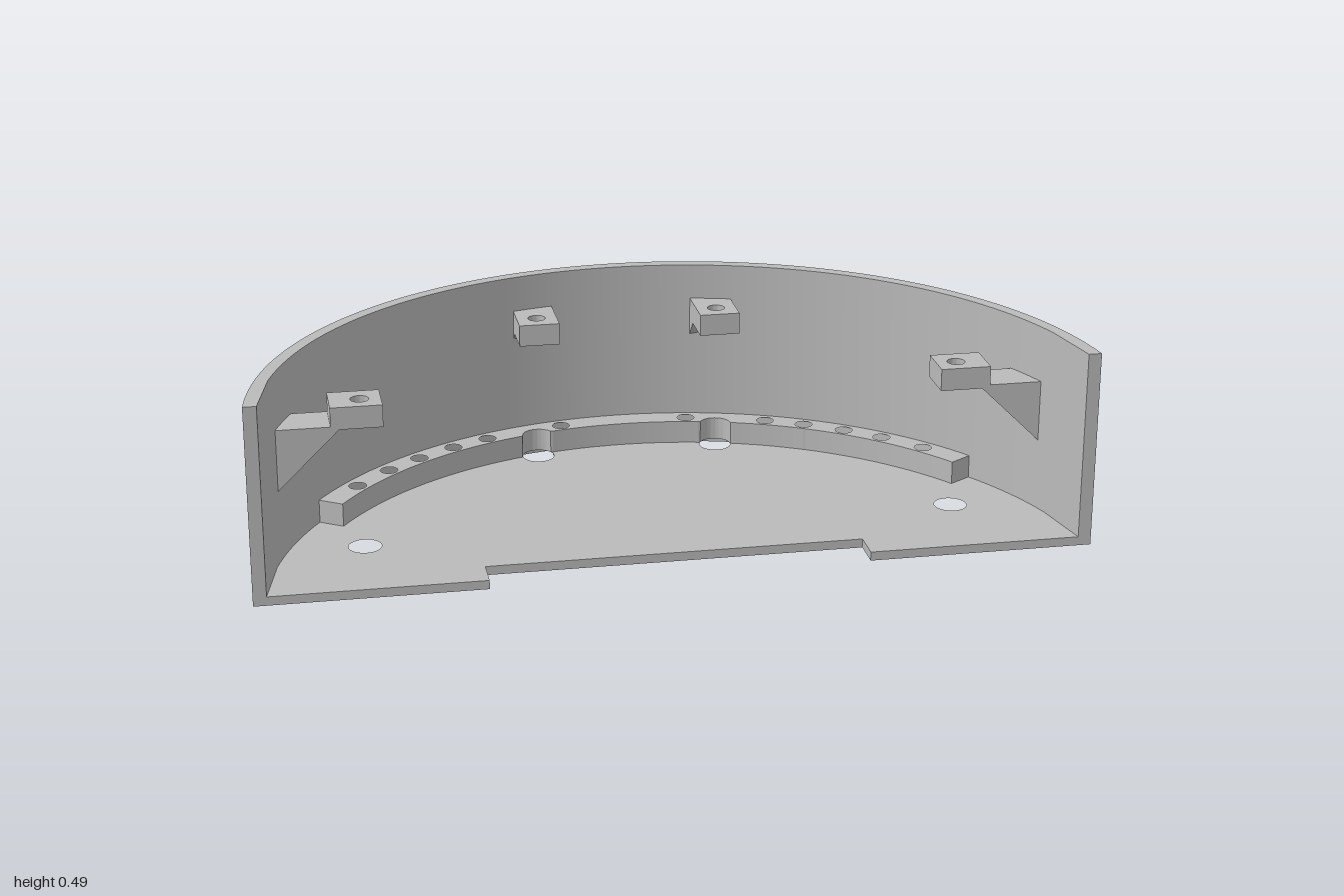
import * as THREE from 'three';
import { toCreasedNormals } from 'three/addons/utils/BufferGeometryUtils.js';

const CZ = 0.56;           // z of the arc centre
const R_OUT = 1.0065, R_IN = 0.975;
const FRONT = 0.445;       // z of the open front
const FLOOR = 0.022, LEDGE_TOP = 0.08, HEIGHT = 0.487;
const rad = THREE.MathUtils.degToRad;

// Plan point (x, -z) at an angle from the back
const polar = (r, a) => new THREE.Vector2(r * Math.sin(a), r * Math.cos(a) - CZ);

function arc(radius, from, to, n) {
  const pts = [];
  for (let i = 0; i <= n; i++) {
    const a = from + (to - from) * i / n;
    pts.push(polar(typeof radius === 'function' ? radius(a) : radius, a));
  }
  return pts;
}

function addHole(shape, x, z, r) {
  const hole = new THREE.Path();
  hole.absarc(x, -z, r, 0, Math.PI * 2, true);
  shape.holes.push(hole);
}

// Extrude a plan shape upwards from y0 to y1
function slab(shape, y0, y1, crease) {
  const g = new THREE.ExtrudeGeometry(shape, { depth: y1 - y0, bevelEnabled: false, curveSegments: 14 });
  g.rotateX(-Math.PI / 2).translate(0, y0, 0);
  return toCreasedNormals(g, crease);
}

export function createModel() {
  const group = new THREE.Group();
  const grey = new THREE.MeshStandardMaterial({ color: 0xbababa });
  grey.name = 'grey';
  const add = (name, geometry) => {
    const mesh = new THREE.Mesh(geometry, grey);
    mesh.name = name;
    group.add(mesh);
  };

  // Inner outline: arc with a straight flat near each open end
  const endOut = Math.acos((CZ - FRONT) / R_OUT);
  const endIn = Math.acos((CZ - FRONT) / R_IN);
  const flat = rad(73.5);
  const inner = [polar(R_IN, -endIn), ...arc(R_IN, -flat, flat, 90), polar(R_IN, endIn)];

  // Curved wall
  const wall = new THREE.Shape([...arc(R_OUT, -endOut, endOut, 100), ...inner.slice().reverse()]);
  add('curvedWall', slab(wall, 0, HEIGHT, 0.06));

  // Hole positions
  const ledgeHoles = [];
  for (const deg of [10.1, 22.8, 29.1, 35.8, 42.3, 49.8]) {
    for (const s of [-1, 1]) ledgeHoles.push(polar(0.94, s * rad(deg)));
  }
  const backScrew = { x: 0.232, z: -0.31 }, sideScrew = { x: 0.722, z: 0.195 };

  // Floor with front notch and holes
  const floor = new THREE.Shape([
    ...inner,
    new THREE.Vector2(0.455, -FRONT), new THREE.Vector2(0.455, -0.365),
    new THREE.Vector2(-0.455, -0.365), new THREE.Vector2(-0.455, -FRONT),
  ]);
  ledgeHoles.forEach(p => addHole(floor, p.x, -p.y, 0.022));
  for (const s of [-1, 1]) {
    for (const h of [backScrew, sideScrew]) addHole(floor, s * h.x, h.z, 0.04);
  }
  add('floor', slab(floor, 0, FLOOR, 0.5));

  // Raised ledge, scalloped around the two rear floor holes
  const screwR = Math.hypot(backScrew.x, backScrew.z - CZ);
  const screwA = Math.atan2(backScrew.x, CZ - backScrew.z);
  const ledgeInner = a => {
    const d = Math.abs(a) - screwA;
    const q = 0.04 ** 2 - (screwR * Math.sin(d)) ** 2;
    return q > 0 ? Math.max(0.91, screwR * Math.cos(d) + Math.sqrt(q)) : 0.91;
  };
  const span = rad(57);
  const ledge = new THREE.Shape([
    ...arc(R_IN, -span, span, 80), ...arc(ledgeInner, span, -span, 456),
  ]);
  ledgeHoles.forEach(p => addHole(ledge, p.x, -p.y, 0.022));
  add('ledge', slab(ledge, FLOOR, LEDGE_TOP, 0.5));

  // Drilled rectangular block
  const block = (x0, x1, z0, z1, hole) => {
    const s = new THREE.Shape([
      new THREE.Vector2(x0, -z1), new THREE.Vector2(x1, -z1),
      new THREE.Vector2(x1, -z0), new THREE.Vector2(x0, -z0),
    ]);
    addHole(s, hole.x, hole.z, 0.022);
    return slab(s, 0.342, 0.397, 0.5);
  };

  for (const s of [-1, 1]) {
    const side = s > 0 ? 'left' : 'right';
    const at = h => ({ x: s * h.x, z: h.z });
    const range = (a, b) => (s > 0 ? [a, b] : [-b, -a]);

    // Rear bracket: block plus a sloped support against the wall
    const [bx0, bx1] = range(0.181, 0.283);
    add(side + 'RearBracket', block(bx0, bx1, -0.402, -0.257, at(backScrew)));
    const wedge = new THREE.ExtrudeGeometry(new THREE.Shape([
      new THREE.Vector2(0.356, 0.342), new THREE.Vector2(0.402, 0.296), new THREE.Vector2(0.402, 0.342),
    ]), { depth: bx1 - bx0, bevelEnabled: false });
    wedge.rotateY(Math.PI / 2).translate(bx0, 0, 0);
    add(side + 'RearSupport', wedge);

    // Side bracket: block plus a gusset trimmed to the curved wall
    const [sx0, sx1] = range(0.672, 0.795);
    add(side + 'SideBracket', block(sx0, sx1, 0.14, 0.245, at(sideScrew)));
    const gusset = new THREE.ExtrudeGeometry(new THREE.Shape([
      new THREE.Vector2(s * 0.775, 0.342), new THREE.Vector2(s * 0.92, 0.2),
      new THREE.Vector2(s * 0.92, 0.35), new THREE.Vector2(s * 0.775, 0.35),
    ]), { depth: 0.105, bevelEnabled: false });
    gusset.translate(0, 0, 0.14);
    const p = gusset.attributes.position;
    for (let i = 0; i < p.count; i++) {
      if (Math.abs(p.getX(i)) < 0.9) continue;
      const x = Math.sqrt(0.985 ** 2 - (p.getZ(i) - CZ) ** 2);
      p.setX(i, s * x);
      if (p.getY(i) < 0.3) p.setY(i, 0.342 - (x - 0.775) * 0.98);
    }
    gusset.computeVertexNormals();
    add(side + 'SideGusset', gusset);
  }
  return group;
}
